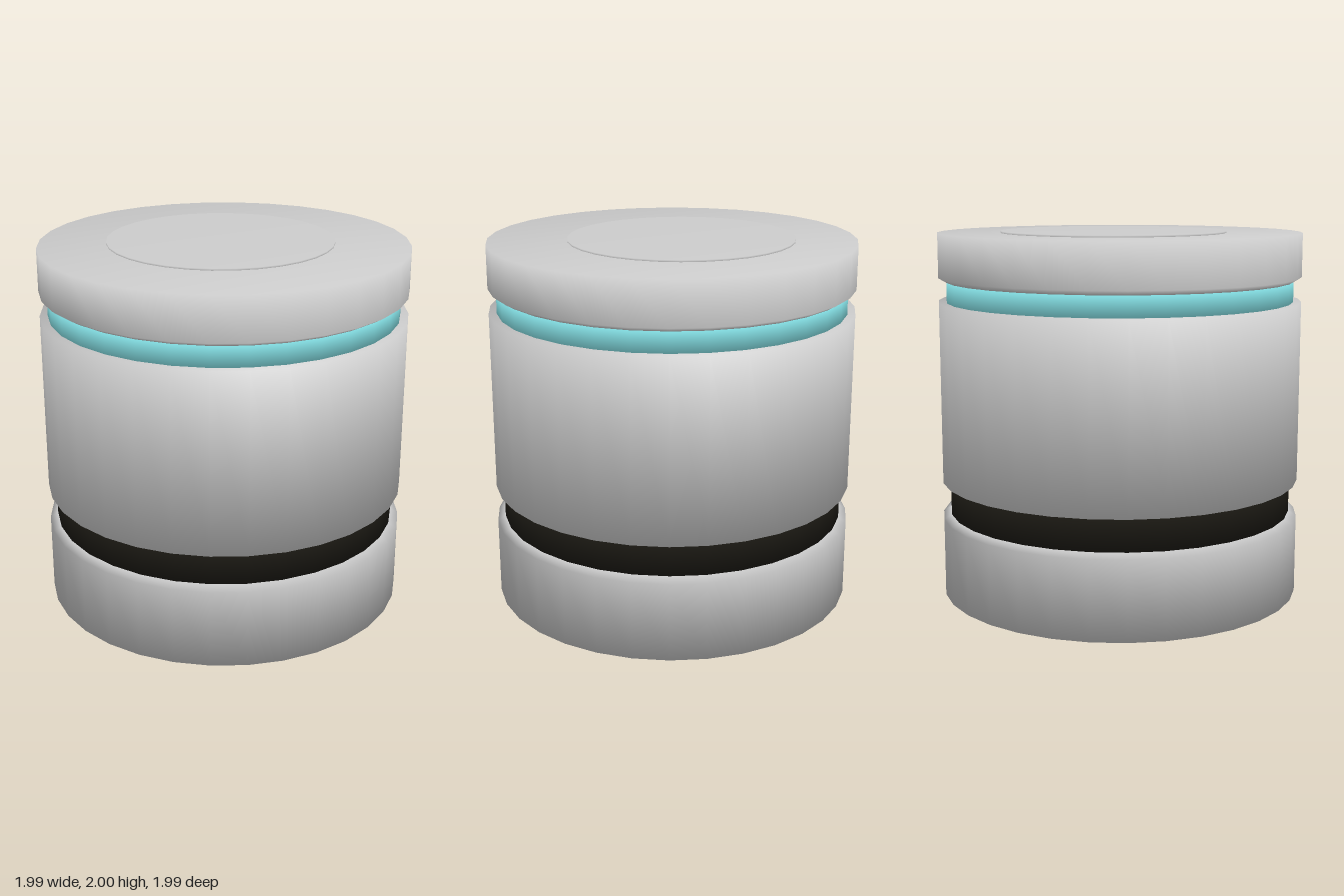
import * as THREE from 'three';

const SIDES = 32;
const R = 0.993;      // outer radius of the shells
const R_BAND = 0.95;  // radius of the recessed bands

export function createModel() {
  const model = new THREE.Group();

  // Closed turned solid: profile runs from the bottom axis point to the top one
  function turned(name, profile, color = 0xcccccc) {
    const points = profile.map(([r, y]) => new THREE.Vector2(r, y));
    points.unshift(new THREE.Vector2(0, points[0].y));
    points.push(new THREE.Vector2(0, points[points.length - 1].y));
    const mesh = new THREE.Mesh(
      new THREE.LatheGeometry(points, SIDES),
      new THREE.MeshStandardMaterial({ color })
    );
    mesh.name = name;
    model.add(mesh);
    return mesh;
  }

  // Base with a chamfered upper rim
  turned('base', [[R, 0], [R, 0.43], [R_BAND, 0.455]]);

  // Dark recessed band between base and body
  turned('darkBand', [[R_BAND, 0.44], [R_BAND, 0.65]], 0x1a1812);

  // Main body
  turned('body', [[R, 0.635], [R, 1.62]]);

  // Light blue recessed band between body and lid
  turned('blueBand', [[R_BAND, 1.6], [R_BAND, 1.74]], 0x84dfe4);

  // Lid with a chamfered lower rim
  turned('lid', [[R_BAND, 1.73], [R, 1.755], [R, 1.99]]);

  // Thin disc on the lid, slightly off centre
  const disc = turned('topDisc', [[0.613, 1.98], [0.613, 2]]);
  disc.position.set(-0.03, 0, -0.04);

  return model;
}
